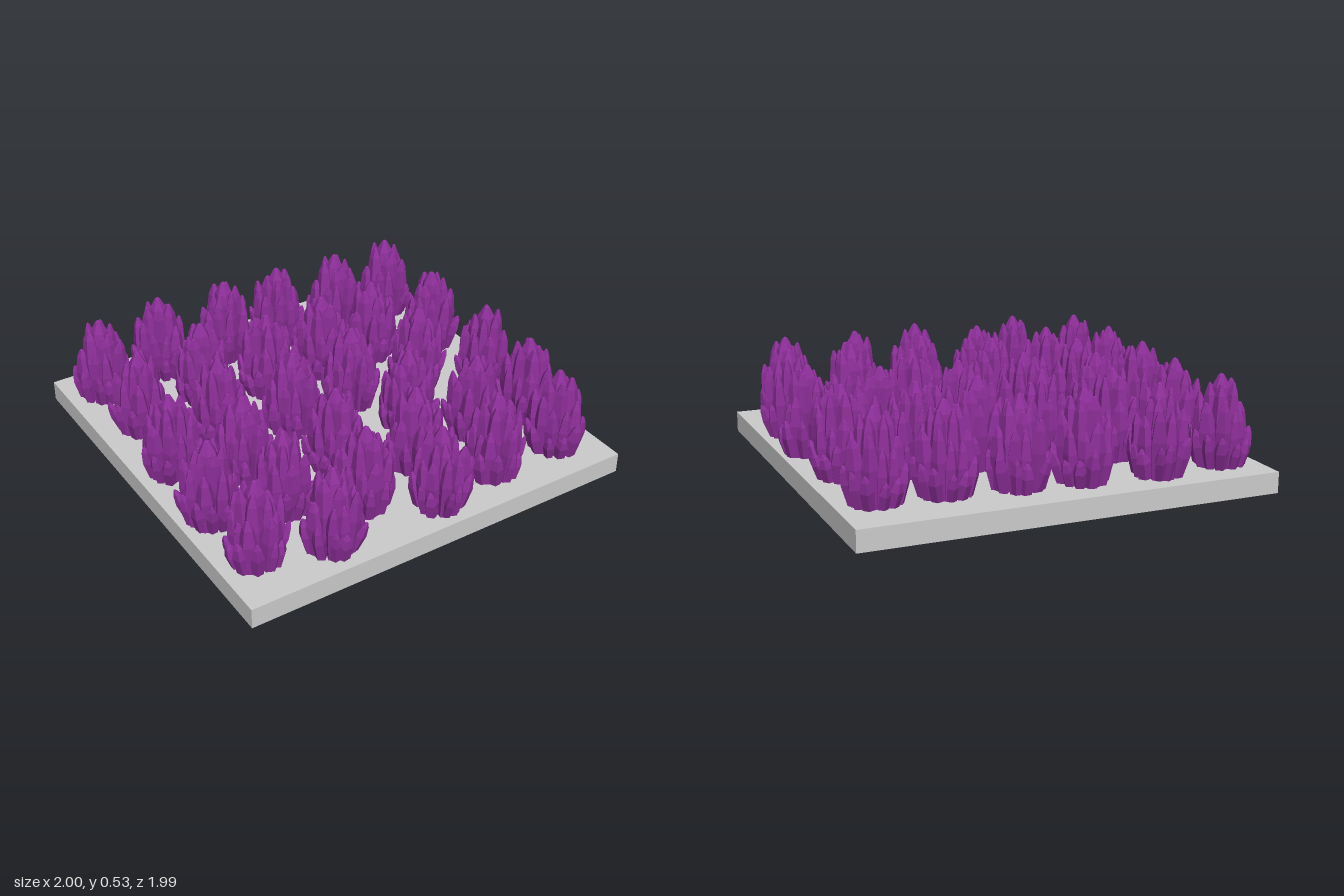
import * as THREE from 'three';
import { mergeGeometries } from 'three/addons/utils/BufferGeometryUtils.js';

// small seeded generator so the crystals vary the same way every time
function seeded(seed) {
  let s = seed;
  return () => (s = (s * 16807) % 2147483647) / 2147483647;
}

// one faceted shard: slim foot, swelling body, tapered tip
function shard(r, h, sides) {
  const profile = [[r * 0.85, 0], [r, h * 0.55], [r * 0.62, h * 0.85], [r * 0.2, h * 0.98], [0, h]];
  return new THREE.LatheGeometry(profile.map(([x, y]) => new THREE.Vector2(x, y)), sides);
}

// a cluster: tall core surrounded by rings of ever shorter, more slanted shards
function clusterGeometry() {
  const rand = seeded(4217);
  const vary = (v, amount) => v * (1 + (rand() - 0.5) * 2 * amount);
  const parts = [shard(0.068, 0.425, 6)];
  const rings = [
    { count: 6, offset: 0.042, r: 0.046, h: 0.38, lean: 0.05 },
    { count: 9, offset: 0.074, r: 0.04, h: 0.28, lean: 0.09 },
    { count: 11, offset: 0.092, r: 0.03, h: 0.16, lean: 0.28 },
  ];
  rings.forEach(({ count, offset, r, h, lean }, ring) => {
    for (let i = 0; i < count; i++) {
      const g = shard(vary(r, 0.15), vary(h, ring ? 0.18 : 0.06), 5);
      g.rotateY(rand() * Math.PI * 2);
      g.rotateZ(-vary(lean, 0.35));
      g.translate(vary(offset, 0.06), 0, 0);
      g.rotateY(((i + ring * 0.5 + (rand() - 0.5) * 0.5) / count) * Math.PI * 2);
      parts.push(g);
    }
  });
  return mergeGeometries(parts);
}

export function createModel() {
  const model = new THREE.Group();
  const rand = seeded(991);

  // square base slab
  const slab = new THREE.Mesh(
    new THREE.BoxGeometry(1.99, 0.1, 1.99),
    new THREE.MeshStandardMaterial({ color: 0xcccccc }),
  );
  slab.name = 'baseSlab';
  slab.position.set(-0.005, 0.05, 0);
  model.add(slab);

  // crystal clusters scattered over the slab, as [x, z]
  const spots = [
    [-0.82, -0.77], [-0.48, -0.81], [-0.13, -0.77], [0.17, -0.75], [0.5, -0.71], [0.81, -0.7],
    [-0.79, -0.41], [-0.42, -0.48], [-0.11, -0.38], [0.21, -0.38], [0.5, -0.37], [0.82, -0.29],
    [-0.83, -0.02], [-0.5, -0.16], [-0.18, -0.02], [0.17, -0.05], [0.55, -0.03], [0.85, 0.13],
    [-0.56, 0.17], [-0.17, 0.34], [0.29, 0.26], [-0.85, 0.38], [-0.54, 0.49], [0.14, 0.53],
    [0.53, 0.47], [0.84, 0.48], [-0.82, 0.73], [-0.5, 0.83], [-0.22, 0.66], [0.06, 0.84],
    [0.41, 0.78], [0.78, 0.77],
  ];
  const geometry = clusterGeometry();
  const purple = new THREE.MeshStandardMaterial({ color: 0x8e2f9a, flatShading: true });
  const clusters = new THREE.Group();
  clusters.name = 'crystalClusters';
  spots.forEach(([x, z], i) => {
    const cluster = new THREE.Mesh(geometry, purple);
    cluster.name = `crystalCluster${i + 1}`;
    cluster.position.set(x, 0.1, z);
    cluster.rotation.y = rand() * Math.PI * 2;
    clusters.add(cluster);
  });
  model.add(clusters);
  return model;
}
